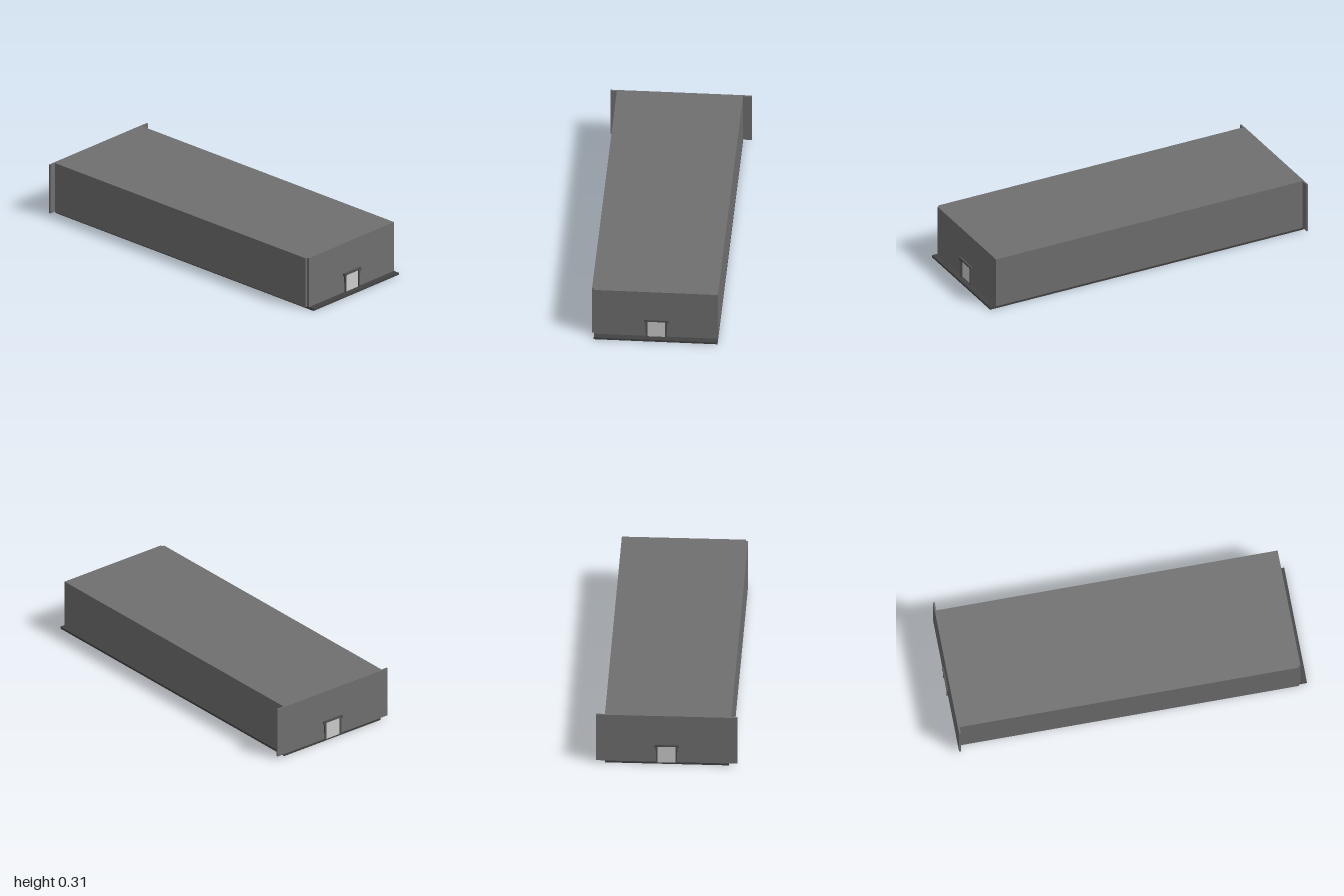
import * as THREE from 'three';

const mat = (color) => new THREE.MeshStandardMaterial({ color });

export function createModel() {
  const model = new THREE.Group();
  const wallMat = mat(0x6f6f6f);
  const slabMat = mat(0x424242);
  const frameMat = mat(0x505050);
  const doorMat = mat(0xcccccc);

  // Box given by its extents on each axis
  function box(name, [x0, x1], [y0, y1], [z0, z1], material, parent = model) {
    const mesh = new THREE.Mesh(new THREE.BoxGeometry(x1 - x0, y1 - y0, z1 - z0), material);
    mesh.position.set((x0 + x1) / 2, (y0 + y1) / 2, (z0 + z1) / 2);
    mesh.name = name;
    parent.add(mesh);
    return mesh;
  }

  const base = 0.012, top = 0.311, t = 0.012;

  // Floor slab, reaching out past the front wall as a doorstep
  box('floorSlab', [-0.349, 0.346], [0, base], [-0.988, 1], slabMat);

  // Hollow hall: side walls, front wall, roof
  box('rightWall', [-0.362, -0.349], [base, top], [-0.98, 0.951], wallMat);
  box('leftWall', [0.346 - t, 0.346], [base, top], [-0.98, 0.951], wallMat);
  box('frontWall', [-0.349, 0.346], [base, top], [0.951, 0.963], wallMat);
  box('roof', [-0.349, 0.346 - t], [top - t, top], [-0.98, 0.951], wallMat);

  // Back wall, wider than the hall
  box('backWall', [-0.398, 0.396], [base + 0.002, top], [-0.99, -0.98], wallMat);

  // Doorway facing +z, with its wall surface at local z = 0
  function doorway(name, depth) {
    const group = new THREE.Group();
    group.name = name;
    box('doorPanel', [-0.051, 0.051], [base, 0.117], [-0.002, 0.003], doorMat, group);
    for (const side of [-1, 1]) {
      // Jamb, slightly wider at its head
      const pts = [[0.05, base], [0.058, base], [0.061, 0.113], [0.05, 0.113]]
        .map(([x, y]) => new THREE.Vector2(side * x, y));
      const geo = new THREE.ExtrudeGeometry(new THREE.Shape(pts), { depth: depth * 0.75, bevelEnabled: false });
      const jamb = new THREE.Mesh(geo, frameMat);
      jamb.name = side < 0 ? 'rightJamb' : 'leftJamb';
      group.add(jamb);
      // Lintel end hanging over the jamb
      const xs = side < 0 ? [-0.068, -0.05] : [0.05, 0.068];
      box('lintelEnd', xs, [0.112, 0.118], [0, depth], frameMat, group);
    }
    box('lintel', [-0.068, 0.068], [0.117, 0.128], [0, depth], frameMat, group);
    model.add(group);
    return group;
  }

  doorway('frontDoorway', 0.013).position.z = 0.963;
  const back = doorway('backDoorway', 0.01);
  back.position.z = -0.99;
  back.rotation.y = Math.PI;

  return model;
}
